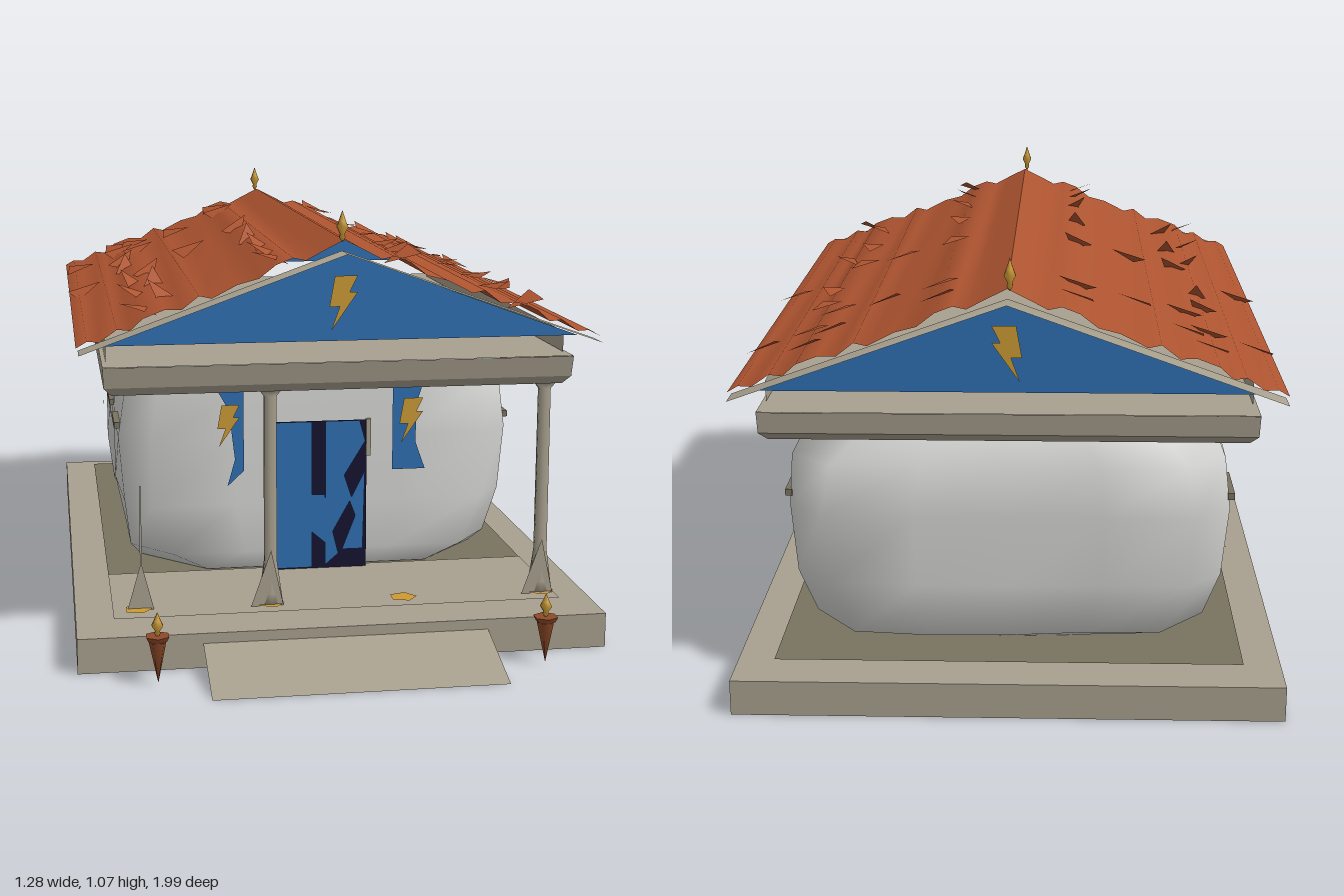
import * as THREE from 'three';

const mat = (name, color, side = THREE.DoubleSide) => {
  const m = new THREE.MeshStandardMaterial({ color, side });
  m.name = name;
  return m;
};

export function createModel() {
  const root = new THREE.Group();
  root.name = 'temple';
  const stone = mat('stone', 0xa8a08e), darkStone = mat('dark stone', 0x79725f);
  const plaster = mat('plaster', 0xd6d6d4), blue = mat('blue paint', 0x2f6fb2);
  const navy = mat('dark interior', 0x15122f), gold = mat('gold', 0xcb9a35);
  const tile = mat('roof tile', 0xae5430), wood = mat('torch wood', 0x8f4a28);

  const add = (name, geo, material, x = 0, y = 0, z = 0) => {
    const m = new THREE.Mesh(geo, material);
    m.name = name;
    m.position.set(x, y, z);
    root.add(m);
    return m;
  };
  const box = (name, material, x0, x1, y0, y1, z0, z1) =>
    add(name, new THREE.BoxGeometry(x1 - x0, y1 - y0, z1 - z0), material, (x0 + x1) / 2, (y0 + y1) / 2, (z0 + z1) / 2);
  const shape = (pts) => new THREE.ShapeGeometry(new THREE.Shape(pts.map(p => new THREE.Vector2(...p))));
  const floor = (name, material, x, y, z0, z1) =>
    add(name, new THREE.PlaneGeometry(2 * x, z1 - z0).rotateX(-Math.PI / 2), material, 0, y, (z0 + z1) / 2);

  // Surface joining a list of equal-length sections
  const loft = (sections, closed) => {
    const n = sections[0].length, index = [];
    for (let i = 0; i < sections.length - 1; i++) {
      for (let j = 0; j < (closed ? n : n - 1); j++) {
        const a = i * n + j, b = i * n + (j + 1) % n;
        index.push(a, b, b + n, a, b + n, a + n);
      }
    }
    const g = new THREE.BufferGeometry();
    g.setAttribute('position', new THREE.Float32BufferAttribute(sections.flat(2), 3));
    g.setIndex(index);
    g.computeVertexNormals();
    return g;
  };

  // Platform, floor sheets and front ramp
  box('base', stone, -0.64, 0.64, 0, 0.085, -0.99, 0.79);
  floor('porchFloor', stone, 0.55, 0.1, 0.34, 0.7);
  floor('cellaFloor', darkStone, 0.55, 0.098, -0.9, 0.34);
  add('frontRamp', loft([
    [[-0.345, 0.0, 1.0], [0.345, 0.0, 1.0]],
    [[-0.345, 0.06, 0.79], [0.345, 0.06, 0.79]],
  ], false), stone);

  // Swollen cella walls: chamfered outlines stacked in height
  const outline = (y, a, zf, zb, c, bump) => {
    const corners = [[a, zb + c], [a, zf - c], [a - c, zf], [c - a, zf], [-a, zf - c], [-a, zb + c], [c - a, zb], [a - c, zb]];
    const pts = [];
    corners.forEach((p, k) => {
      const q = corners[(k + 1) % 8], steps = k % 2 ? 1 : 4;
      for (let i = 0; i < steps; i++) {
        const t = i / steps, x = p[0] + (q[0] - p[0]) * t, z = p[1] + (q[1] - p[1]) * t;
        const s = z > zf - 0.01 ? 1 : 1 - bump * (0.5 + 0.5 * Math.sin(z * 11 + x * 7 + y * 5));
        pts.push([x * s, y, z < -0.5 ? z * (0.5 + 0.5 * s) : z]);
      }
    });
    return pts;
  };
  const rings = [
    outline(0.1, 0.46, 0.33, -0.76, 0.17, 0.1), outline(0.15, 0.5, 0.355, -0.87, 0.12, 0.07),
    outline(0.28, 0.515, 0.36, -0.88, 0.08, 0.03), outline(0.45, 0.515, 0.36, -0.88, 0.08, 0.0),
    outline(0.57, 0.51, 0.36, -0.88, 0.09, 0.03), outline(0.65, 0.47, 0.355, -0.83, 0.13, 0.06),
  ];
  const walls = loft(rings.reverse(), true);
  add('cellaWalls', walls, plaster);

  // Narrow window ledges and broken openings along both sides
  for (const s of [-1, 1]) {
    for (const z of [0.2, -0.11, -0.41, -0.73])
      box('windowLedge', darkStone, s * 0.517 - 0.008, s * 0.517 + 0.008, 0.472, 0.488, z - 0.075, z + 0.075);
    add('windowOpening', shape([[0, 0], [0.055, 0.045], [0, 0.045]]).rotateY(Math.PI / 2), navy, s * 0.522, 0.428, -0.05);
    add('wallCrack', shape([[0, 0], [0.012, 0.18], [-0.012, 0.18]]).rotateY(Math.PI / 2), darkStone, s * 0.521, 0.295, -0.67);
  }

  // Door with broken leaves
  const zDoor = 0.364;
  add('doorOpening', shape([[-0.12, 0.1], [0.125, 0.1], [0.125, 0.495], [-0.12, 0.495]]), navy, 0, 0, zDoor);
  add('doorLeafLeft', shape([[-0.12, 0.105], [-0.02, 0.105], [-0.02, 0.495], [-0.12, 0.495]]), blue, 0, 0, zDoor + 0.008);
  add('doorLeafRight', shape([[0.015, 0.11], [0.05, 0.14], [0.035, 0.2], [0.085, 0.29], [0.065, 0.35], [0.12, 0.44], [0.105, 0.495], [0.015, 0.495]]), blue, 0, 0, zDoor + 0.008);
  add('doorShard', shape([[0.06, 0.15], [0.115, 0.15], [0.12, 0.36], [0.08, 0.28], [0.095, 0.24]]), blue, 0, 0, zDoor + 0.005);
  add('doorMiddle', shape([[-0.02, 0.2], [0.015, 0.17], [0.015, 0.3], [-0.02, 0.3]]), blue, 0, 0, zDoor + 0.005);
  box('doorJamb', stone, 0.123, 0.135, 0.4, 0.497, 0.355, 0.37);

  // Banners
  add('bannerRight', shape([[-0.28, 0.61], [-0.235, 0.53], [-0.22, 0.4], [-0.24, 0.33], [-0.197, 0.37], [-0.197, 0.61]]), blue, 0, 0, 0.366);
  add('bannerLeft', shape([[0.193, 0.61], [0.193, 0.36], [0.28, 0.36], [0.255, 0.43], [0.255, 0.53], [0.28, 0.61]]), blue, 0, 0, 0.366);

  // Zigzag emblems
  const boltShape = [[-0.15, 0.5], [0.27, 0.5], [0.12, 0.2], [0.27, 0.2], [-0.22, -0.5], [-0.06, -0.06], [-0.25, -0.06]];
  const bolt = (x, y, z, h) => add('zigzagEmblem', shape(boltShape.map(([u, v]) => [u * h, v * h])), gold, x, y, z);
  bolt(-0.238, 0.49, 0.372, 0.11);
  bolt(0.24, 0.49, 0.372, 0.12);
  bolt(0, 0.85, 0.708, 0.13);
  bolt(0, 0.85, -0.918, 0.13);

  // Entablature ring with flaring sides, then flat soffit and ceiling
  const ring = (y, x, zf, zb) => [[-x, y, zf], [-x, y, zb], [x, y, zb], [x, y, zf]].reverse();
  add('entablature', loft([
    ring(0.665, 0.47, 0.61, -0.83), ring(0.64, 0.49, 0.63, -0.85), ring(0.64, 0.545, 0.685, -0.89),
    ring(0.66, 0.563, 0.7, -0.91), ring(0.71, 0.565, 0.71, -0.915),
  ].reverse(), true).toNonIndexed(), stone).geometry.computeVertexNormals();
  floor('cornice', stone, 0.565, 0.711, -0.915, 0.71);
  floor('porchCeiling', blue, 0.46, 0.7, 0.36, 0.61);
  floor('cellaCeiling', stone, 0.48, 0.668, -0.84, 0.36);
  for (const s of [-1, 1])
    add('eaveBoard', new THREE.PlaneGeometry(1.49, 0.05).rotateY(Math.PI / 2), stone, s * 0.555, 0.737, -0.09);

  // Pediments and the sloping trims over them
  for (const [z, z0, z1] of [[0.7, 0.69, 0.77], [-0.91, -0.965, -0.9]]) {
    add('pediment', shape([[-0.575, 0.76], [0.575, 0.76], [0, 0.97]]), blue, 0, 0, z);
    add('pedimentTrim', loft([z1, z0].map(w => [[-0.62, 0.75, w], [0, 0.972, w], [0.62, 0.75, w]]), false), stone);
  }

  // Ridged tile roof
  const roofY = x => 1.0 - 0.384 * Math.abs(x);
  const profile = [[0, 0], [0.05, -0.006], [0.09, -0.012], [0.12, 0.006], [0.16, 0.006], [0.2, -0.01], [0.25, -0.004], [0.31, -0.012],
    [0.34, 0.006], [0.38, -0.01], [0.42, 0.006], [0.47, 0.006], [0.5, -0.01], [0.53, 0.005], [0.57, -0.008], [0.6, 0.005], [0.625, 0]];
  for (const s of [-1, 1]) {
    const pts = s > 0 ? profile : [...profile].reverse();
    add('roofSlope', loft([0.72, -0.925].map(z => pts.map(([x, d]) => [s * x, roofY(x) + d, z])), false), tile);
    // Lifted tile fragments
    const chip = shape([[-0.035, -0.03], [0.05, -0.018], [-0.03, 0.03]]).rotateX(-Math.PI / 2);
    const rows = [[0.16, [-0.78, -0.66, -0.16, 0.12, 0.36, 0.52, 0.64]], [0.3, [-0.6, -0.1]],
      [0.47, [-0.78, -0.65, -0.4, -0.25, 0.12, 0.35, 0.62]], [0.42, [-0.7, -0.52, 0.0, 0.22, 0.48]], [0.59, [-0.63, -0.1]]];
    rows.forEach(([x, zs]) => zs.forEach((z, i) => {
      const c = add('tileFragment', chip, tile, s * x, roofY(x) + 0.014, z);
      c.rotation.set(0.3, i * 0.6, -s * 0.36);
    }));
  }

  // Ridge finials
  const flame = [[0, 0], [0.008, 0.012], [0.006, 0.02], [0.015, 0.036], [0.009, 0.05], [0, 0.075]].map(p => new THREE.Vector2(...p));
  for (const z of [0.725, -0.925]) add('finial', new THREE.LatheGeometry(flame, 6), gold, -0.006, 0.995, z);

  // Porch columns: two standing, one broken to a spike, one missing
  const shaft = [[0, 0.1], [0.035, 0.1], [0.03, 0.13], [0.018, 0.21], [0.017, 0.62], [0.03, 0.635], [0.04, 0.645], [0.04, 0.66]].map(p => new THREE.Vector2(...p));
  for (const x of [-0.165, 0.515]) {
    const c = add('column', new THREE.LatheGeometry(shaft, 6), stone, x, 0, 0.64);
    c.scale.z = 0.6;
    add('columnFoot', shape([[-0.05, 0.1], [0.03, 0.1], [0, 0.24]]), stone, x, 0, 0.655);
  }
  add('brokenColumn', shape([[-0.035, 0.1], [0.03, 0.1], [0.002, 0.21], [0.002, 0.41], [-0.002, 0.41], [-0.003, 0.21]]), stone, -0.48, 0, 0.64);
  for (const x of [-0.49, -0.165, 0.165, 0.515])
    add('columnPlate', new THREE.CircleGeometry(0.035, 5).rotateX(-Math.PI / 2), gold, x, 0.104, 0.645);

  // Torches in front of the platform
  for (const x of [-0.458, 0.46]) {
    add('torchHandle', new THREE.ConeGeometry(0.022, 0.1, 5).rotateX(Math.PI), wood, x, 0.055, 0.885);
    add('torchBand', new THREE.CylinderGeometry(0.03, 0.024, 0.012, 6), wood, x, 0.111, 0.88);
    add('torchFlame', new THREE.LatheGeometry(flame, 6), gold, x, 0.113, 0.88).scale.y = 0.8;
  }
  return root;
}
